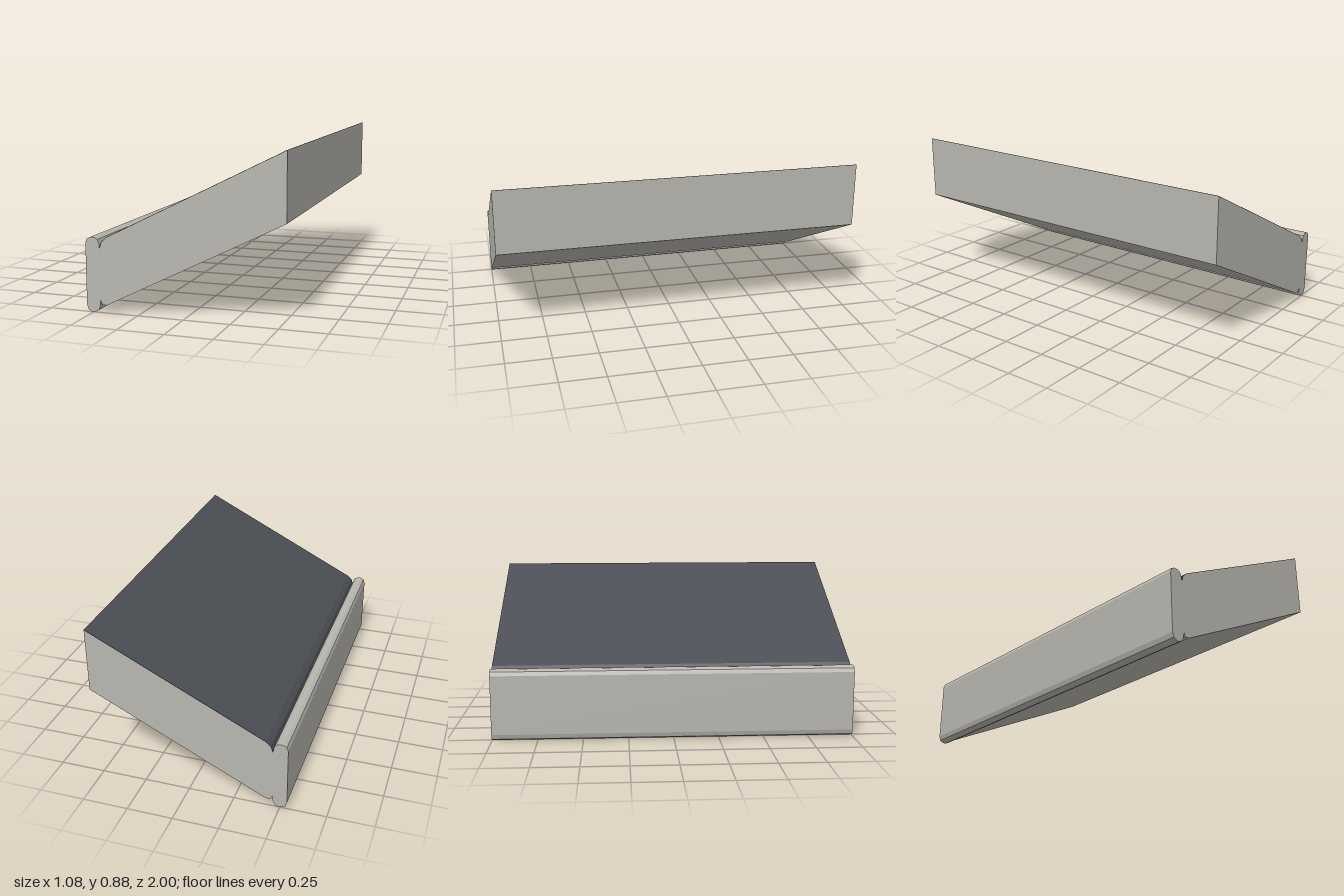
import * as THREE from 'three';

const LENGTH = 2;
const COVER = 0.003; // thickness of the dark top sheet

// Extrude an x-y outline along z, centred on z = 0
function bar(name, points, material) {
  const shape = new THREE.Shape(points.map(([x, y]) => new THREE.Vector2(x, y)));
  const geometry = new THREE.ExtrudeGeometry(shape, { depth: LENGTH, bevelEnabled: false });
  geometry.translate(0, 0, -LENGTH / 2);
  const mesh = new THREE.Mesh(geometry, material);
  mesh.name = name;
  return mesh;
}

export function createModel() {
  const stone = new THREE.MeshStandardMaterial({ color: 0xb8b6af });
  stone.name = 'light stone grey';
  const slate = new THREE.MeshStandardMaterial({ color: 0x4b4e54 });
  slate.name = 'dark slate grey';

  // Upright edge board with rounded top and bottom
  const edgeTrim = bar('edgeTrim', [
    [-0.538, 0.038], [-0.53, 0.012], [-0.51, 0.002], [-0.5, 0], [-0.49, 0.002],
    [-0.47, 0.012], [-0.461, 0.036], [-0.459, 0.064], [-0.459, 0.34],
    [-0.461, 0.364], [-0.47, 0.388], [-0.49, 0.398], [-0.51, 0.398],
    [-0.53, 0.388], [-0.538, 0.366],
  ], stone);

  // Upper surface line, from the groove beside the trim to the high edge
  const top = [[-0.459, 0.34], [-0.448, 0.376], [-0.422, 0.4], [0.538, 0.88]];
  const lowered = top.map(([x, y]) => [x, y - COVER]);

  // Sloping slab
  const slab = bar('slopingSlab', [
    [-0.459, 0.064], [-0.448, 0.041], [-0.424, 0.041], [0.538, 0.524],
    ...lowered.slice().reverse(),
  ], stone);

  // Thin dark sheet over the slope
  const cover = bar('slopeCover', [...lowered, ...top.slice().reverse()], slate);

  const model = new THREE.Group();
  model.name = 'slopedPanel';
  model.add(edgeTrim, slab, cover);
  return model;
}
